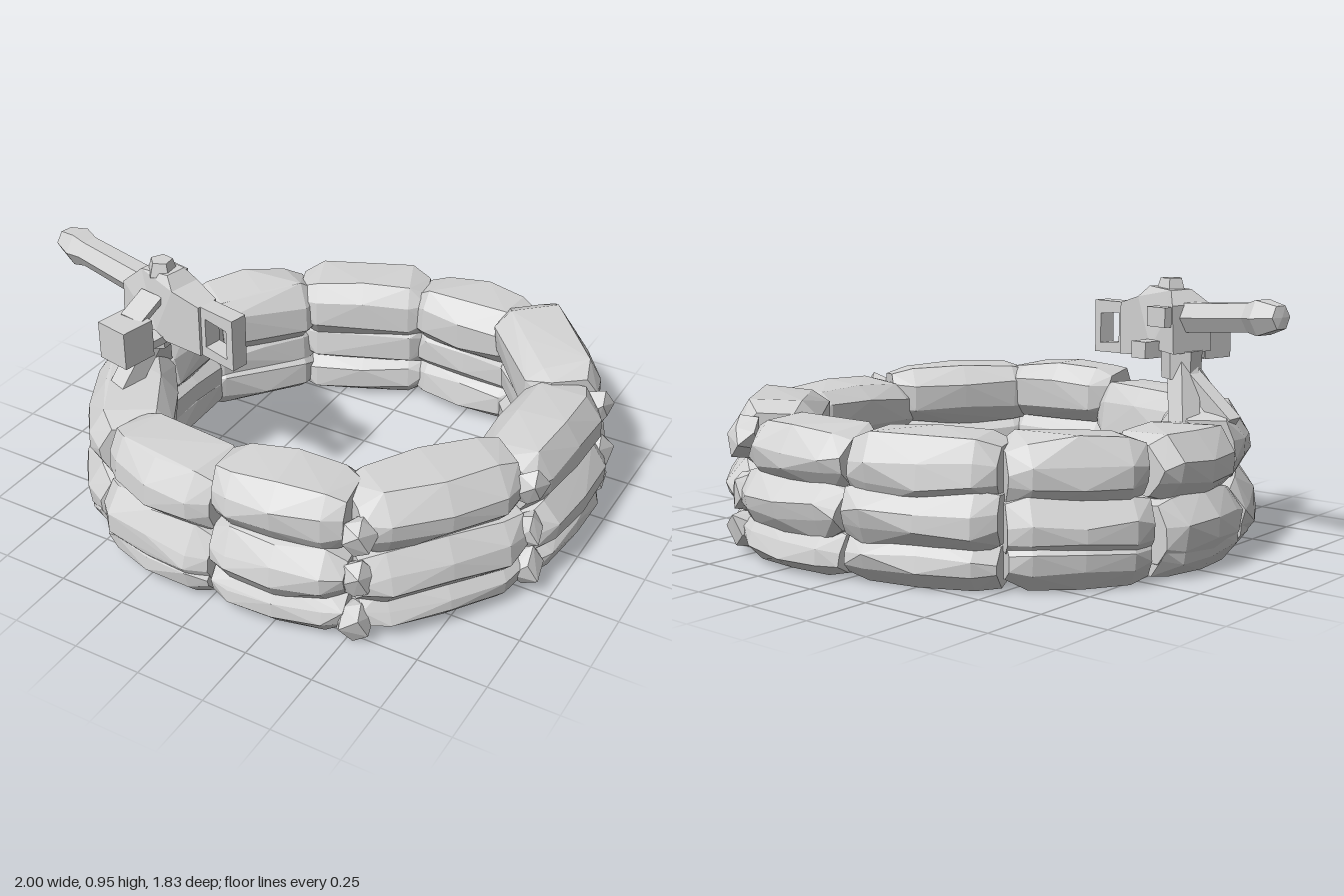
import * as THREE from 'three';
import { ConvexGeometry } from 'three/addons/geometries/ConvexGeometry.js';

const stone = new THREE.MeshStandardMaterial({ color: 0xd4d4d4, flatShading: true });
stone.name = 'plain grey';

let seed = 7;
const jitter = (a) => {
  seed = (seed * 16807) % 2147483647;
  return (seed / 2147483647 - 0.5) * 2 * a;
};

function part(parent, name, geometry, x = 0, y = 0, z = 0) {
  const mesh = new THREE.Mesh(geometry, stone);
  mesh.name = name;
  mesh.position.set(x, y, z);
  parent.add(mesh);
  return mesh;
}

// Chamfered bag section: outward and upward factors
const SECTION = [[1, 0.25], [0.58, 1], [-0.62, 1], [-1, 0.45], [-1, -0.45], [-0.62, -1], [0.6, -1], [1, -0.35]];
// Stations along a bag: position, section scale, outward bulge
const STATIONS = [[-0.02, 0.74, 0], [0.13, 0.97, 0.005], [0.5, 1, 0.018], [0.87, 0.97, 0.005], [1.02, 0.74, 0]];

function bagGeometry(a, b, width, height) {
  const outward = new THREE.Vector3(b.z - a.z, 0, a.x - b.x).normalize();
  const points = [];
  for (const [t, s, bulge] of STATIONS) {
    const c = a.clone().lerp(b, t);
    for (const [u, v] of SECTION) {
      const reach = u * s * width + (u > 0 ? bulge : 0) + jitter(0.012);
      const p = c.clone().addScaledVector(outward, reach);
      p.y = Math.max(0, c.y + v * s * height + jitter(0.012));
      points.push(p);
    }
  }
  return new ConvexGeometry(points);
}

// Small gathered end of a bag
function knotGeometry(r) {
  const points = [];
  for (let i = 0; i < 12; i++) {
    const a = i * 2.4, y = 1 - (2 * i + 1) / 12, q = Math.sqrt(1 - y * y);
    points.push(new THREE.Vector3(Math.cos(a) * q, y * 1.2, Math.sin(a) * q).multiplyScalar(r + jitter(r * 0.25)));
  }
  return new ConvexGeometry(points);
}

// Square bar between two points
function strut(parent, name, from, to, w, d) {
  const a = new THREE.Vector3(...from), b = new THREE.Vector3(...to);
  const mesh = part(parent, name, new THREE.BoxGeometry(w, a.distanceTo(b), d));
  mesh.position.copy(a).lerp(b, 0.5);
  mesh.quaternion.setFromUnitVectors(new THREE.Vector3(0, 1, 0), b.sub(a).normalize());
}

function polygon(points, Type = THREE.Shape) {
  return new Type(points.map(([x, y]) => new THREE.Vector2(x, y)));
}

function extrude(shape, depth) {
  return new THREE.ExtrudeGeometry(shape, { depth, bevelEnabled: false }).translate(0, 0, -depth / 2);
}

function buildWall() {
  const wall = new THREE.Group();
  wall.name = 'sandbagWall';
  // Joints between the bags, clockwise from the back
  const joints = [[0.01, -0.755], [0.46, -0.74], [0.81, -0.33], [0.805, 0.22], [0.465, 0.675],
    [0.02, 0.74], [-0.43, 0.665], [-0.73, 0.22], [-0.725, -0.2], [-0.45, -0.565]];
  // Height of each bag's middle, and half its thickness, course by course
  const courses = [
    { name: 'bottomBag', scale: 1.01, w: 0.14, h: [0.09, 0.085, 0.09, 0.09, 0.09, 0.09, 0.1, 0.1, 0.1, 0.09],
      y: [0.085, 0.08, 0.085, 0.085, 0.085, 0.085, 0.1, 0.1, 0.1, 0.085] },
    { name: 'middleBag', scale: 1.025, w: 0.142, h: [0.1, 0.1, 0.1, 0.105, 0.105, 0.115, 0.125, 0.125, 0.11, 0.105],
      y: [0.22, 0.22, 0.2, 0.23, 0.24, 0.17, 0.145, 0.145, 0.19, 0.22] },
    { name: 'topBag', scale: 0.985, w: 0.145, h: [0.11, 0.12, 0.11, 0.115, 0.115, 0.12, 0.12, 0.115, 0.12, 0.12],
      y: [0.375, 0.41, 0.385, 0.425, 0.435, 0.38, 0.365, 0.355, 0.37, 0.38] },
  ];
  courses.forEach((course) => {
    joints.forEach((joint, i) => {
      const next = joints[(i + 1) % joints.length];
      const at = (p) => new THREE.Vector3(p[0] * course.scale, course.y[i] + jitter(0.008), p[1] * course.scale);
      part(wall, course.name, bagGeometry(at(joint), at(next), course.w, course.h[i]));
      // Tied ends fill the looser joints
      if (i >= 1 && i <= 4) {
        const reach = 1 + 0.09 / Math.hypot(...joint);
        part(wall, 'bagKnot', knotGeometry(0.065), joint[0] * reach, course.y[i] + jitter(0.02), joint[1] * reach);
      }
    });
  });
  return wall;
}

function buildGun() {
  const gun = new THREE.Group();
  gun.name = 'mountedGun';
  gun.position.set(-0.5, 0, 0.33);
  gun.rotation.y = -0.207;

  // Receiver, narrowing to the rear and the top
  const body = extrude(polygon([[-0.1, 0.69], [-0.09, 0.86], [-0.04, 0.91], [0.08, 0.92], [0.12, 0.88],
    [0.23, 0.85], [0.23, 0.66], [0.08, 0.67], [0.04, 0.7]]), 0.19);
  const pos = body.attributes.position;
  for (let i = 0; i < pos.count; i++) {
    const t = (pos.getX(i) + 0.1) / 0.33;
    const top = pos.getY(i) > 0.9 ? 0.6 : 1;
    pos.setZ(i, pos.getZ(i) * (1 - 0.55 * t) * top);
  }
  body.computeVertexNormals();
  part(gun, 'receiver', body);

  // Rear grip frame
  const frame = polygon([[0.21, 0.66], [0.38, 0.655], [0.38, 0.85], [0.21, 0.85]]);
  frame.holes.push(polygon([[0.25, 0.7], [0.25, 0.81], [0.35, 0.8], [0.35, 0.69]], THREE.Path));
  part(gun, 'rearGrip', extrude(frame, 0.065));

  // Barrel with a flared muzzle
  const profile = [[0, 0], [0.06, 0], [0.056, 0.3], [0.07, 0.35], [0.045, 0.43], [0, 0.435]]
    .map(([r, y]) => new THREE.Vector2(r, y));
  const barrel = part(gun, 'barrel', new THREE.LatheGeometry(profile, 6), -0.08, 0.815, 0);
  barrel.rotation.z = Math.PI / 2 - 0.07;

  // Sight and side fittings
  part(gun, 'sight', new THREE.CylinderGeometry(0.04, 0.055, 0.05, 5), 0.02, 0.925, 0.01);
  part(gun, 'sideKnob', new THREE.BoxGeometry(0.07, 0.06, 0.08), 0.02, 0.7, -0.11);
  part(gun, 'chargingHandle', new THREE.BoxGeometry(0.09, 0.07, 0.05), -0.04, 0.82, -0.1);

  // Ammunition box hung on the side, with its feed
  part(gun, 'ammoBox', new THREE.BoxGeometry(0.13, 0.14, 0.13), 0.03, 0.72, 0.2);
  part(gun, 'ammoShelf', new THREE.BoxGeometry(0.1, 0.03, 0.1), 0.02, 0.67, 0.1);
  strut(gun, 'ammoFeed', [0.02, 0.83, 0.06], [0.03, 0.78, 0.17], 0.09, 0.025);
  return gun;
}

function buildMount() {
  const mount = new THREE.Group();
  mount.name = 'gunMount';
  part(mount, 'pivot', new THREE.CylinderGeometry(0.075, 0.07, 0.1, 6), -0.545, 0.645, 0.32);
  strut(mount, 'mountLeg', [-0.55, 0.63, 0.32], [-0.77, 0.45, 0.3], 0.06, 0.06);
  strut(mount, 'mountLeg', [-0.56, 0.62, 0.33], [-0.59, 0.44, 0.5], 0.08, 0.07);
  strut(mount, 'mountLeg', [-0.56, 0.63, 0.31], [-0.64, 0.43, 0.2], 0.08, 0.08);
  return mount;
}

export function createModel() {
  const model = new THREE.Group();
  model.name = 'sandbagEmplacement';
  seed = 7;
  model.add(buildWall(), buildGun(), buildMount());
  return model;
}
